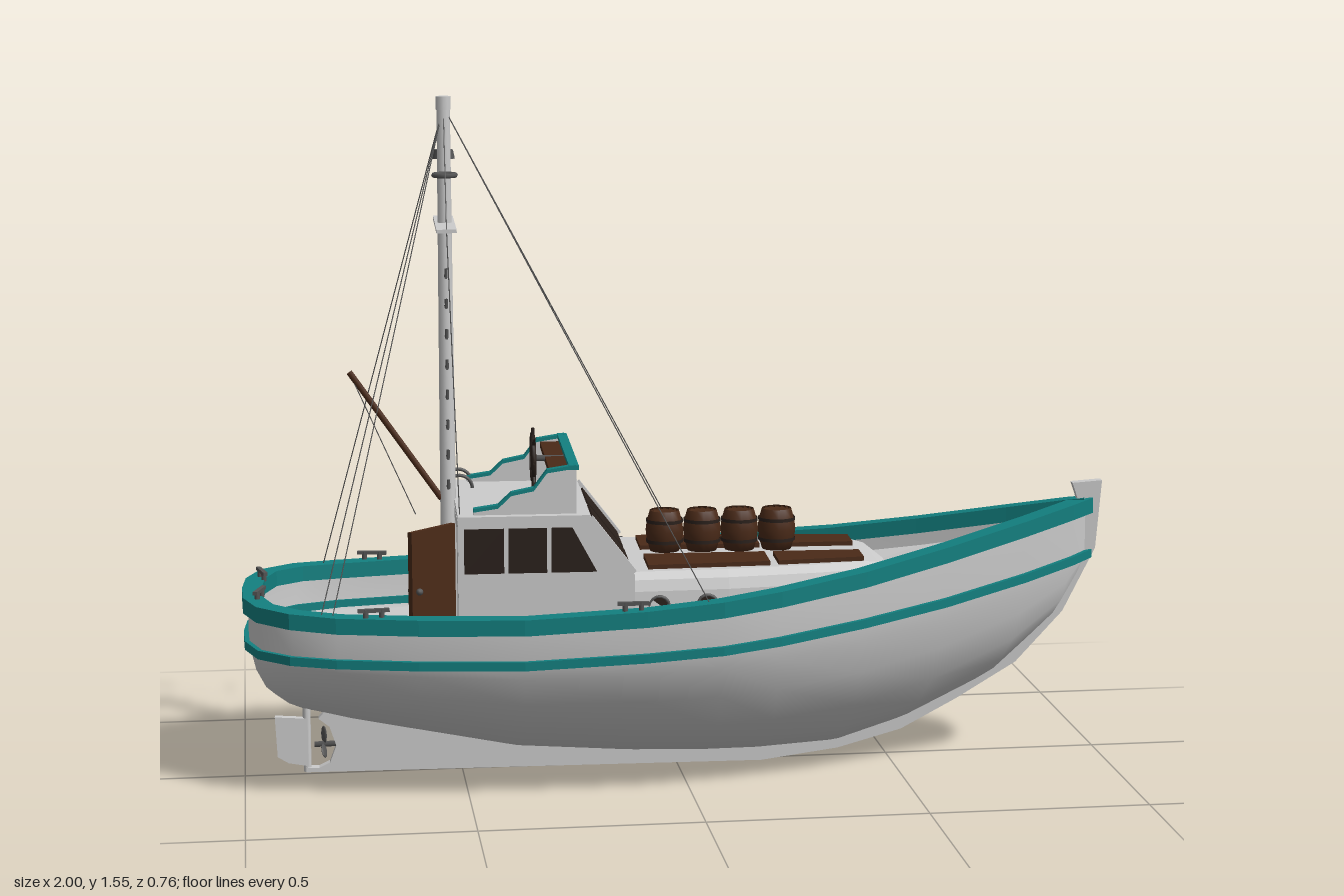
import * as THREE from 'three';

const GREY = 0xcccccc, TEAL = 0x138080, BROWN = 0x4a2a18, DARK = 0x2a201b, IRON = 0x555555;
const V = (x, y, z) => new THREE.Vector3(x, y, z);

// Stations: sheer x, half breadth, sheer y, keel x, keel y, strake y
const STATIONS = [
  [-0.985, 0, 0.445, -0.87, 0.16, 0.345], [-0.98, 0.1, 0.445, -0.87, 0.16, 0.345],
  [-0.95, 0.19, 0.445, -0.865, 0.158, 0.345], [-0.88, 0.255, 0.443, -0.83, 0.15, 0.345],
  [-0.78, 0.295, 0.44, -0.75, 0.13, 0.345], [-0.6, 0.332, 0.44, -0.6, 0.1, 0.345],
  [-0.37, 0.363, 0.442, -0.37, 0.055, 0.347], [-0.1, 0.362, 0.455, -0.1, 0.037, 0.358],
  [0.07, 0.352, 0.47, 0.07, 0.033, 0.368], [0.2, 0.325, 0.485, 0.2, 0.035, 0.38],
  [0.4, 0.255, 0.51, 0.38, 0.048, 0.4], [0.6, 0.175, 0.545, 0.54, 0.1, 0.425],
  [0.8, 0.092, 0.585, 0.74, 0.2, 0.46], [0.92, 0.036, 0.61, 0.87, 0.32, 0.485],
  [0.97, 0.006, 0.62, 0.96, 0.47, 0.497],
];
// Cross-section from keel to strake: breadth, height
const SECTION = [[0, 0], [0.35, 0.16], [0.69, 0.37], [0.88, 0.62], [0.96, 0.84], [1, 1]];

function interp(x, col) {
  let i = 1;
  while (i < STATIONS.length - 1 && STATIONS[i][0] < x) i++;
  const a = STATIONS[i - 1], b = STATIONS[i];
  return THREE.MathUtils.lerp(a[col], b[col], THREE.MathUtils.clamp((x - a[0]) / (b[0] - a[0]), 0, 1));
}

// Skin between cross-sections of equal point count
function loft(rings, wrap = false) {
  const n = rings[0].length, idx = [];
  for (let i = 0; i < rings.length - 1; i++)
    for (let j = 0; j < (wrap ? n : n - 1); j++) {
      const a = i * n + j, b = i * n + (j + 1) % n;
      idx.push(a, b, a + n, b, b + n, a + n);
    }
  const g = new THREE.BufferGeometry().setFromPoints(rings.flat());
  g.setIndex(idx);
  g.computeVertexNormals();
  return g;
}

// Half section of [z, y] points, mirrored across z = 0 at a given x
const mirrored = (x, half) => [...half.map(([z, y]) => V(x, y, -z)), ...[...half].reverse().map(([z, y]) => V(x, y, z))];

export function createModel() {
  const model = new THREE.Group(), boat = new THREE.Group();
  boat.name = 'boat';
  boat.rotation.y = -0.033;
  boat.position.z = 0.006;
  model.add(boat);

  const add = (name, geo, color = GREY, x = 0, y = 0, z = 0, flatShading = false) => {
    const m = new THREE.Mesh(geo, new THREE.MeshStandardMaterial({ color, flatShading, side: THREE.DoubleSide }));
    m.name = name;
    m.position.set(x, y, z);
    boat.add(m);
    return m;
  };
  const box = (name, w, h, d, color, x, y, z) => add(name, new THREE.BoxGeometry(w, h, d), color, x, y, z);
  const rod = (name, a, b, r, color = IRON, sides = 5) =>
    add(name, new THREE.TubeGeometry(new THREE.LineCurve3(a, b), 1, r, sides), color);
  const extrude = (pts, depth) => new THREE.ExtrudeGeometry(
    new THREE.Shape(pts.map(p => new THREE.Vector2(...p))), { depth, bevelEnabled: false });
  // Plate drawn in side view, centred on z
  const plate = (name, pts, depth, color, z = 0) =>
    add(name, extrude(pts, depth).translate(0, 0, -depth / 2), color, 0, 0, z);

  // Hull
  add('hull', loft(STATIONS.map(([xs, zs, ys, xk, yk, yt]) => {
    const half = SECTION.map(([b, h]) => [xk + (xs - xk) * b, yk + (yt - yk) * h, zs * b]);
    half.push([xs, ys - 0.01, zs]);
    return [...half.slice(1).reverse().map(p => V(p[0], p[1], -p[2])), ...half.map(p => V(...p))];
  })));

  // Rail and rubbing strake
  const band = (name, yCol, outer, inner, height) => {
    const path = [...[...STATIONS].reverse().map(s => [s[0], s[yCol], s[1]]),
      ...STATIONS.slice(1).map(s => [s[0], s[yCol], -s[1]])];
    add(name, loft(path.map(([x, y, z], i) => {
      const p = path[Math.max(i - 1, 0)], q = path[Math.min(i + 1, path.length - 1)];
      const l = Math.hypot(q[0] - p[0], q[2] - p[2]), nx = (q[2] - p[2]) / l, nz = -(q[0] - p[0]) / l;
      return [[outer, 0], [outer, -height], [-inner, -height], [-inner, 0]]
        .map(([o, h]) => V(x + nx * o, y + h, z + nz * o));
    }), true), TEAL, 0, 0, 0, true);
  };
  band('rail', 2, 0.013, 0.032, 0.036);
  band('strake', 5, 0.011, 0.006, 0.02);

  // Decks: low flat stern, cambered waist, raised foredeck [x, edge y, camber, half width]
  const deckRows = [
    ...STATIONS.slice(1, 7).map(s => [Math.max(s[0], -0.968), 0.32, 0, s[1] * 0.955]),
    ...[-0.37, -0.1, 0.07, 0.2, 0.37].map(x => [x, 0.35, 0.05, interp(x, 1) * 0.945]),
    ...[0.37, 0.4, 0.6, 0.8, 0.92, 0.965].map(x => [x, interp(x, 2) - 0.07, 0.015, interp(x, 1) * 0.98]),
  ];
  add('deck', loft(deckRows.map(([x, y, camber, h]) => [V(x, y, -h), V(x, y + camber, 0), V(x, y, h)])), GREY, 0, 0, 0, true);

  // Keel and stem, with a rounded propeller opening
  plate('keel', [[-0.86, 0.008], [0.2, 0.008], [0.38, 0.033], [0.53, 0.075], [0.66, 0.145], [0.8, 0.23],
    [0.91, 0.35], [0.985, 0.5], [0.998, 0.66], [0.928, 0.655], [0.94, 0.62], [0.955, 0.5], [0.86, 0.35],
    [0.74, 0.24], [0.5, 0.12], [0.2, 0.06], [-0.3, 0.08], [-0.8, 0.17], [-0.83, 0.135], [-0.805, 0.115],
    [-0.79, 0.07], [-0.805, 0.03], [-0.83, 0.018], [-0.86, 0.018]], 0.024, GREY);

  // Rudder and propeller
  plate('rudder', [[-0.855, 0.022], [-0.9, 0.03], [-0.925, 0.045], [-0.93, 0.14], [-0.855, 0.135]], 0.018, GREY);
  rod('rudderPost', V(-0.857, 0.008, 0), V(-0.857, 0.2, 0), 0.009, GREY, 8);
  rod('propellerShaft', V(-0.84, 0.072, 0), V(-0.5, 0.078, 0), 0.007);
  for (let i = 0; i < 3; i++) {
    const blade = add('propellerBlade', new THREE.SphereGeometry(0.021, 10, 6).scale(0.18, 1, 0.6).rotateY(0.5)
      .translate(0, 0.022, 0), IRON, -0.818, 0.072, 0);
    blade.rotation.x = i * Math.PI * 2 / 3;
  }

  // Trunk cabin
  const trunk = [[-0.13, 0.22, 0.505], [0.1, 0.208, 0.505], [0.3, 0.182, 0.505], [0.42, 0.157, 0.505],
    [0.455, 0.135, 0.498], [0.53, 0.105, 0.44]];
  add('trunkCabin', loft(trunk.map(([x, h, t]) =>
    mirrored(x, [[h + 0.008, 0.35], [h, t - 0.04], [h - 0.008, t - 0.015], [h - 0.028, t]]))), GREY, 0, 0, 0, true);
  box('trunkFront', 0.01, 0.09, 0.2, GREY, 0.526, 0.394, 0);
  for (const s of [-1, 1]) {
    [[-0.08, 0.2, 0.168, 0.152], [0.22, 0.42, 0.148, 0.125]].forEach(([x0, x1, o0, o1]) =>
      add('hatch', extrude([[x0, s * 0.045], [x1, s * 0.045], [x1, s * o1], [x0, s * o0]], 0.02)
        .rotateX(Math.PI / 2), BROWN, 0, 0.515, 0));
    [-0.06, 0.05, 0.16, 0.27].forEach(x => {
      const z = s * (x < 0.1 ? 0.213 - 0.045 * (x + 0.05) : 0.21 - 0.13 * (x - 0.1));
      add('porthole', new THREE.CylinderGeometry(0.022, 0.022, 0.01, 14).rotateX(Math.PI / 2), DARK, x, 0.43, z);
      add('portholeRim', new THREE.TorusGeometry(0.023, 0.004, 6, 14), IRON, x, 0.43, z + s * 0.003);
    });
  }

  // Barrels
  const stave = [[0, 0], [0.034, 0], [0.041, 0.025], [0.044, 0.048], [0.041, 0.07], [0.034, 0.095], [0.03, 0.09], [0, 0.09]]
    .map(p => new THREE.Vector2(...p));
  [-0.027, 0.06, 0.147, 0.234].forEach(x => {
    add('barrel', new THREE.LatheGeometry(stave, 14), BROWN, x, 0.513, 0);
    [0.024, 0.071].forEach(y => add('barrelHoop', new THREE.CylinderGeometry(0.043, 0.043, 0.008, 14, 1, true), DARK, x, 0.513 + y, 0));
  });

  // Wheelhouse: front, sides and rear wall with a doorway
  plate('wheelhouseFront', [[-0.125, 0.34], [-0.115, 0.34], [-0.115, 0.505], [-0.215, 0.635], [-0.228, 0.635], [-0.125, 0.502]], 0.44, GREY);
  box('roof', 0.295, 0.022, 0.455, GREY, -0.363, 0.634, 0);
  box('rearWall', 0.01, 0.32, 0.24, GREY, -0.506, 0.475, -0.1);
  box('rearPost', 0.01, 0.32, 0.065, GREY, -0.506, 0.475, 0.187);
  box('doorLintel', 0.01, 0.025, 0.14, GREY, -0.506, 0.617, 0.087);
  for (const s of [-1, 1]) {
    plate('wheelhouseSide', [[-0.51, 0.315], [-0.115, 0.34], [-0.115, 0.505], [-0.215, 0.635], [-0.51, 0.635]], 0.01, GREY, s * 0.218);
    [[[-0.497, 0.515], [-0.408, 0.515], [-0.408, 0.617], [-0.497, 0.617]],
      [[-0.398, 0.515], [-0.312, 0.515], [-0.312, 0.617], [-0.398, 0.617]],
      [[-0.302, 0.515], [-0.2, 0.515], [-0.255, 0.617], [-0.302, 0.617]]]
      .forEach(p => plate('sideWindow', p, 0.014, DARK, s * 0.218));
    const screen = box('windscreen', 0.135, 0.016, 0.175, DARK, -0.169, 0.569, s * 0.101);
    screen.rotation.z = -Math.atan2(0.13, 0.1);
    const pillar = box('windscreenPillar', 0.16, 0.014, 0.016, GREY, -0.165, 0.573, s * 0.215);
    pillar.rotation.z = screen.rotation.z;
  }
  // Door swung open towards the port quarter
  const door = box('door', 0.14, 0.275, 0.012, BROWN, -0.568, 0.478, 0.19);
  door.rotation.y = Math.PI / 4;
  for (const e of [-1, 1]) add('doorKnob', new THREE.SphereGeometry(0.008, 8, 6), IRON, -0.606 + e * 0.009, 0.48, 0.228 + e * 0.009);

  // Ladder and handrails
  for (const z of [-0.2, -0.12]) {
    rod('ladderSide', V(-0.525, 0.32, z), V(-0.525, 0.645, z), 0.007);
    add('handrail', new THREE.TorusGeometry(0.03, 0.004, 6, 12, Math.PI), IRON, -0.495, 0.645, z);
  }
  for (let i = 0; i < 8; i++) rod('ladderRung', V(-0.525, 0.355 + i * 0.038, -0.2), V(-0.525, 0.355 + i * 0.038, -0.12), 0.005);

  // Upper helm: stepped sides, front, console and wheel
  const crest = [[-0.475, 0.652], [-0.42, 0.66], [-0.39, 0.688], [-0.34, 0.698], [-0.31, 0.738], [-0.245, 0.748]];
  for (const s of [-1, 1]) {
    plate('helmSide', [[-0.245, 0.64], [-0.475, 0.64], ...crest], 0.012, GREY, s * 0.2);
    plate('helmSideTrim', [...crest, ...crest.map(([x, y]) => [x, y + 0.008]).reverse()], 0.02, TEAL, s * 0.2);
  }
  box('helmFront', 0.012, 0.11, 0.41, GREY, -0.25, 0.695, 0);
  box('helmFrontTrim', 0.022, 0.01, 0.42, TEAL, -0.25, 0.75, 0);
  box('helmConsole', 0.045, 0.014, 0.38, BROWN, -0.28, 0.732, 0);
  rod('wheelAxle', V(-0.33, 0.735, 0), V(-0.26, 0.735, 0), 0.007);
  add('steeringWheel', new THREE.TorusGeometry(0.05, 0.006, 6, 20).rotateY(Math.PI / 2), DARK, -0.33, 0.735, 0);
  for (let i = 0; i < 4; i++) {
    const d = V(0, Math.cos(i * Math.PI / 4) * 0.07, Math.sin(i * Math.PI / 4) * 0.07), c = V(-0.33, 0.735, 0);
    rod('wheelSpoke', c.clone().sub(d), c.clone().add(d), 0.004, DARK);
  }

  // Mast, crosstree, lamps and steps
  const mx = -0.525;
  add('mast', new THREE.CylinderGeometry(0.015, 0.019, 1.22, 12), GREY, mx, 0.93, 0);
  add('mastCap', new THREE.CylinderGeometry(0.017, 0.017, 0.03, 12), GREY, mx, 1.548, 0);
  box('crosstree', 0.045, 0.008, 0.3, GREY, mx, 1.275, 0);
  add('lamp', new THREE.CylinderGeometry(0.022, 0.026, 0.02, 12), IRON, mx, 1.43, -0.04);
  add('lampHood', new THREE.ConeGeometry(0.014, 0.03, 10), IRON, mx, 1.455, -0.034);
  add('lampRing', new THREE.TorusGeometry(0.024, 0.006, 6, 14).rotateX(Math.PI / 2), IRON, mx, 1.39, 0.042);
  for (let i = 0; i < 16; i++) {
    const s = i % 2 ? 1 : -1, y = 1.195 - i * 0.0345;
    rod('mastStep', V(mx, y, 0), V(mx, y, s * 0.05), 0.004);
    rod('mastStepTip', V(mx, y, s * 0.05), V(mx, y + 0.02, s * 0.052), 0.004);
  }
  rod('boom', V(mx - 0.015, 0.645, 0), V(-0.745, 0.94, 0), 0.007, BROWN, 8);
  rod('boomLine', V(-0.745, 0.94, 0), V(-0.6, 0.615, 0.03), 0.0012);

  // Rigging and rail cleats
  const top = V(mx, 1.54, 0);
  for (const s of [-1, 1]) {
    rod('aftStay', top, V(-0.815, 0.44, s * 0.272), 0.0013);
    rod('innerAftStay', top, V(-0.79, 0.44, s * 0.28), 0.0013);
    rod('foreStay', top, V(0.04, 0.465, s * 0.342), 0.0013);
    rod('upperShroud', top, V(mx, 1.275, s * 0.145), 0.0013);
    rod('lowerShroud', V(mx, 1.275, s * 0.145), V(-0.505, 0.64, s * 0.19), 0.0013);
    [[-0.7, 0.305, 0.13], [-0.13, 0.352, 0], [-0.955, 0.1, 1.3]].forEach(([x, z, turn]) => {
      const y = interp(x, 2);
      const cleat = box('cleat', 0.07, 0.008, 0.01, IRON, x, y + 0.016, s * z);
      cleat.rotation.y = s * turn;
      for (const e of [-1, 1]) add('cleatPost', new THREE.CylinderGeometry(0.006, 0.006, 0.022, 8), IRON,
        x + e * 0.018 * Math.cos(turn), y + 0.008, s * (z - e * 0.018 * Math.sin(turn)));
    });
  }
  return model;
}
